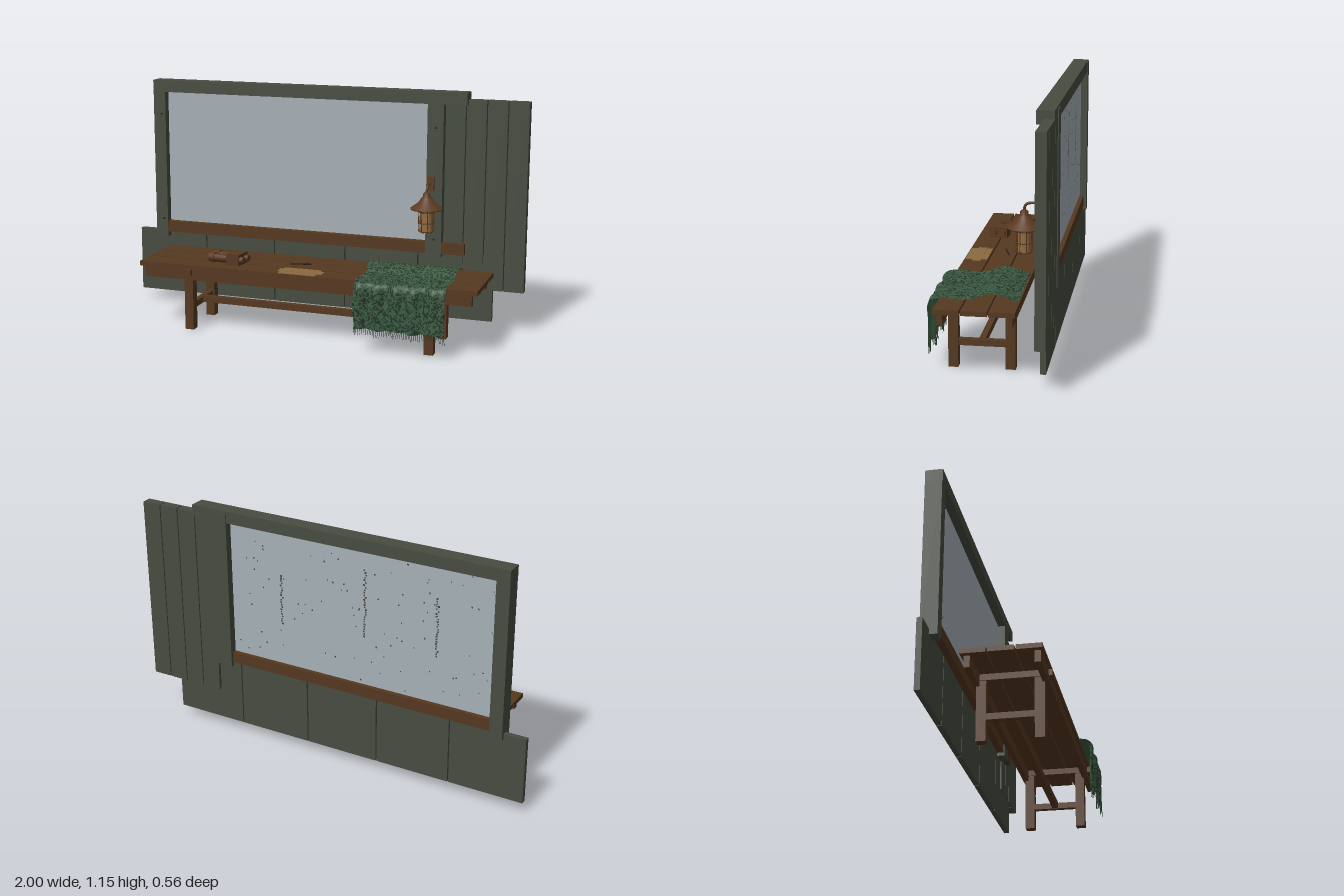
import * as THREE from 'three';

const mat = (name, color, side = THREE.FrontSide) => {
  const m = new THREE.MeshStandardMaterial({ color, side });
  m.name = name;
  return m;
};

export function createModel() {
  const root = new THREE.Group();
  root.name = 'windowBench';
  const paint = mat('greenPaint', 0x474c40);
  const wood = mat('wood', 0x553820);
  const pane = mat('windowGlass', 0xa6b0b6);
  const grime = mat('grime', 0x4f4a48);
  const copper = mat('agedCopper', 0x5c3a20);
  const amber = mat('amberGlass', 0x8f6d40);
  const paper = mat('oldPaper', 0x8a6a40);
  const iron = mat('darkIron', 0x2a2420);
  const cloth = mat('greenCloth', 0x3f5f45);
  const clothDark = mat('darkClothThread', 0x25382a);

  let seed = 7;
  const rand = () => (seed = (seed * 16807) % 2147483647) / 2147483647;

  const group = (name, parent = root) => {
    const g = new THREE.Group();
    g.name = name;
    parent.add(g);
    return g;
  };
  const add = (name, geo, m, parent = root, x = 0, y = 0, z = 0) => {
    const o = new THREE.Mesh(geo, m);
    o.name = name;
    o.position.set(x, y, z);
    parent.add(o);
    return o;
  };
  // box given by its limits on each axis
  const box = (name, m, parent, x0, x1, y0, y1, z0, z1) =>
    add(name, new THREE.BoxGeometry(x1 - x0, y1 - y0, z1 - z0), m, parent,
      (x0 + x1) / 2, (y0 + y1) / 2, (z0 + z1) / 2);

  // wall: low panels and tall boards
  const wall = group('wall');
  for (let i = 0; i < 5; i++) {
    const x = -1 + i * 0.371;
    box('lowPanel', paint, wall, x, x + 0.365, 0.055, 0.378, -0.262, -0.237);
  }
  for (let i = 0; i < 4; i++) {
    const x = 0.606 + i * 0.0995;
    box('tallBoard', paint, wall, x, x + 0.0945, 0.212, 1.12, -0.277, -0.23);
  }

  // window frame, sill and glass
  const win = group('window');
  box('leftPost', paint, win, 0.525, 0.603, 0.36, 1.142, -0.281, -0.2);
  box('rightPost', paint, win, -0.893, -0.83, 0.352, 1.15, -0.278, -0.2);
  box('topBeam', paint, win, -0.893, 0.714, 1.097, 1.155, -0.276, -0.198);
  box('sill', wood, win, -0.83, 0.714, 0.377, 0.432, -0.265, -0.205);
  box('glassPane', pane, win, -0.83, 0.525, 0.432, 1.097, -0.244, -0.238);
  for (const [x, y] of [[-0.85, 0.985], [-0.85, 0.447], [0.566, 0.985], [0.566, 0.447]]) {
    const nail = add('nail', new THREE.CylinderGeometry(0.005, 0.005, 0.008, 8), iron, win, x, y, -0.197);
    nail.rotation.x = Math.PI / 2;
  }

  // dirt on the back of the glass
  const dirt = group('glassDirt', win);
  const speck = (x, y, s) => box('speck', grime, dirt, x - s, x + s, y - s, y + s, -0.2455, -0.2435);
  for (let i = 0; i < 90; i++)
    speck(-0.81 + rand() * 1.31, 0.45 + rand() * 0.63, 0.0018 + rand() * 0.0018);
  for (const [x, top, bottom] of [[0.25, 0.88, 0.63], [-0.19, 1.0, 0.67], [-0.55, 0.94, 0.66]])
    for (let y = top; y > bottom; y -= 0.012)
      speck(x + (rand() - 0.5) * 0.012, y, 0.003 + rand() * 0.0015);

  // bench
  const bench = group('bench');
  for (const z of [-0.133, -0.014, 0.105])
    box('topPlank', wood, bench, -0.785, 0.873, 0.306, 0.328, z, z + 0.112);
  for (const [z0, z1] of [[0.181, 0.208], [-0.12, -0.093]])
    box('apron', wood, bench, -0.76, 0.846, 0.253, 0.306, z0, z1);
  for (const x of [-0.541, 0.647]) {
    box('cleat', wood, bench, x - 0.027, x + 0.027, 0.277, 0.306, -0.127, 0.224);
    for (const z of [0.168, -0.086])
      box('leg', wood, bench, x - 0.022, x + 0.022, 0, 0.278, z - 0.022, z + 0.022);
    box('sideStretcher', wood, bench, x - 0.014, x + 0.014, 0.099, 0.128, -0.07, 0.15);
  }
  box('longStretcher', wood, bench, -0.54, 0.647, 0.102, 0.133, 0.027, 0.055);

  // throw: a sheet bent along a side profile, speckled on its outer face
  const throwGroup = group('throwBlanket');
  const profile = new THREE.CatmullRomCurve3([
    [-0.127, 0.331], [-0.07, 0.352], [-0.02, 0.361], [0.03, 0.352], [0.07, 0.337], [0.15, 0.333],
    [0.22, 0.335], [0.25, 0.329], [0.263, 0.308], [0.263, 0.24], [0.263, 0.115],
  ].map(([z, y]) => new THREE.Vector3(0, y, z)));
  const NX = 70, NY = 84;
  const sheet = new THREE.PlaneGeometry(1, 1, NX, NY);
  const pos = sheet.attributes.position;
  const onSheet = (u, t) => {
    const p = profile.getPointAt(t);
    const hang = THREE.MathUtils.smoothstep(t, 0.5, 0.75);
    const wave = Math.sin(u * 31) * 0.009 + Math.sin(u * 13 + 1) * 0.006;
    return p.set(0.31 + 0.424 * u + 0.004 * Math.sin(t * 21), p.y + hang * 0.004 * Math.sin(u * 17), p.z + hang * wave);
  };
  for (let i = 0; i < pos.count; i++) {
    const p = onSheet(pos.getX(i) + 0.5, 0.5 - pos.getY(i));
    pos.setXYZ(i, p.x, p.y, p.z);
  }
  sheet.computeVertexNormals();
  const plain = [], dark = [], idx = sheet.index.array;
  for (let c = 0; c < idx.length; c += 6)
    (rand() < 0.42 ? dark : plain).push(...idx.slice(c, c + 6));
  const outer = sheet.clone();
  outer.setIndex([...plain, ...dark]);
  outer.addGroup(0, plain.length, 0);
  outer.addGroup(plain.length, dark.length, 1);
  add('throwOuterFace', outer, [cloth, clothDark], throwGroup);
  const under = cloth.clone();
  under.side = THREE.BackSide;
  add('throwUnderside', sheet, under, throwGroup);
  for (let i = 0; i <= 52; i++) {
    const p = onSheet(i / 52, 1), len = 0.022 + rand() * 0.014;
    const strand = add('fringe', new THREE.CylinderGeometry(0.0014, 0.0008, len, 5), clothDark, throwGroup, p.x, p.y - len / 2, p.z);
    strand.rotation.set((rand() - 0.5) * 0.3, 0, (rand() - 0.5) * 0.4);
  }

  // wall lantern
  const lantern = group('lantern');
  lantern.position.set(0.547, 0, -0.128);
  box('wallPlate', copper, lantern, -0.018, 0.018, 0.688, 0.752, -0.074, -0.058);
  const arm = new THREE.CatmullRomCurve3([[0.722, -0.06], [0.722, -0.03], [0.718, -0.012], [0.704, -0.002], [0.68, 0]]
    .map(([y, z]) => new THREE.Vector3(0, y, z)));
  add('arm', new THREE.TubeGeometry(arm, 20, 0.006, 8), copper, lantern);
  const shade = [[0, 0.692], [0.012, 0.69], [0.018, 0.683], [0.018, 0.67], [0.026, 0.663], [0.04, 0.64],
    [0.076, 0.614], [0.076, 0.609], [0.03, 0.612], [0, 0.612]].reverse();
  add('shade', new THREE.LatheGeometry(shade.map(([r, y]) => new THREE.Vector2(r, y)), 28), copper, lantern);
  add('collar', new THREE.CylinderGeometry(0.034, 0.034, 0.014, 20), copper, lantern, 0, 0.606, 0);
  add('amberGlass', new THREE.CylinderGeometry(0.028, 0.028, 0.1, 20), amber, lantern, 0, 0.552, 0);
  for (const y of [0.595, 0.545, 0.505]) {
    const ring = add('cageRing', new THREE.TorusGeometry(0.036, 0.002, 6, 28), copper, lantern, 0, y, 0);
    ring.rotation.x = Math.PI / 2;
  }
  for (let i = 0; i < 8; i++) {
    const a = (i + 0.5) * Math.PI / 4;
    const bar = new THREE.CatmullRomCurve3([[0.036, 0.605], [0.037, 0.55], [0.036, 0.507], [0.026, 0.497], [0.012, 0.499]]
      .map(([r, y]) => new THREE.Vector3(Math.cos(a) * r, y, Math.sin(a) * r)));
    add('cageBar', new THREE.TubeGeometry(bar, 14, 0.002, 5), copper, lantern);
  }

  // binoculars lying on the bench
  const glasses = group('binoculars');
  glasses.position.set(-0.362, 0.328, 0.108);
  glasses.rotation.y = -0.11;
  for (const z of [-0.024, 0.024]) {
    const tube = (name, m, x, len, r0, r1) => {
      const t = add(name, new THREE.CylinderGeometry(r0, r1, len, 18), m, glasses, x, 0.027, z);
      t.rotation.z = Math.PI / 2;
    };
    tube('objective', copper, -0.077, 0.03, 0.022, 0.025);
    tube('barrel', wood, -0.03, 0.07, 0.02, 0.022);
    tube('eyepiece', copper, 0.083, 0.02, 0.016, 0.016);
    tube('lens', iron, -0.0925, 0.002, 0.019, 0.019);
  }
  box('prismHousing', wood, glasses, 0.005, 0.074, 0.001, 0.054, -0.046, 0.044);
  box('bridge', copper, glasses, -0.05, 0.01, 0.018, 0.036, -0.012, 0.012);

  // paper and pencil
  const note = group('paperSheets');
  box('sheet', paper, note, -0.075, 0.108, 0.328, 0.331, 0.108, 0.212);
  box('foldedSheet', paper, note, -0.088, 0.132, 0.328, 0.3325, 0.135, 0.178);
  const pencil = add('pencil', new THREE.CylinderGeometry(0.004, 0.004, 0.1, 6), iron, root, -0.024, 0.332, 0.029);
  pencil.rotation.set(0, 0.27, Math.PI / 2);

  return root;
}
